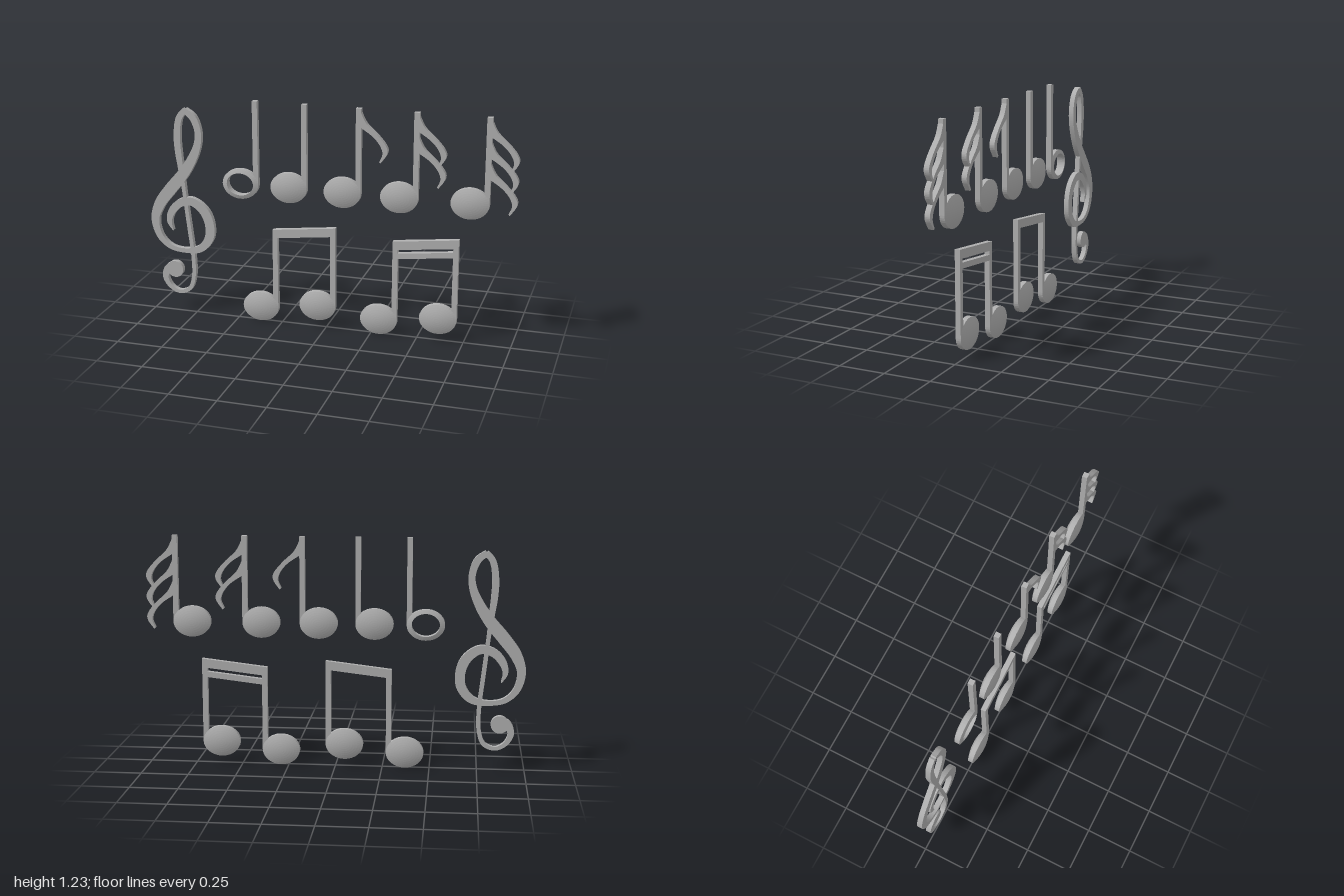
import * as THREE from 'three';

const HALF = 0.014; // half thickness of the flat parts
const DOME = 0.033; // half thickness at the middle of a note head
const RX = 0.1, RY = 0.082, STEM = 0.028;

const grey = new THREE.MeshStandardMaterial({ color: 0xb0b0b0 });
grey.name = 'grey';

function addMesh(parent, name, geometry) {
  const mesh = new THREE.Mesh(geometry, grey);
  mesh.name = name;
  parent.add(mesh);
  return mesh;
}

// Flat plate from an outline, centred on z = 0
function plate(points) {
  const geo = new THREE.ExtrudeGeometry(new THREE.Shape(points), { depth: HALF * 2, bevelEnabled: false });
  return geo.translate(0, 0, -HALF);
}

const v = (x, y) => new THREE.Vector2(x, y);

// Domed elliptical head; a hole ratio above 0 leaves an open ring
function headGeometry(hole = 0) {
  const front = [], steps = 7;
  for (let i = 0; i <= steps; i++) {
    const r = hole + (1 - hole) * i / steps;
    front.push(v(r, HALF + (DOME - HALF) * (1 - r * r)));
  }
  const back = front.map(p => v(p.x, -p.y)).reverse();
  // profile runs from the back to the front so faces point outwards
  const profile = [...back.reverse(), ...front.reverse()];
  if (hole) profile.push(profile[0].clone());
  let geo = new THREE.LatheGeometry(profile, 40);
  geo.rotateX(Math.PI / 2).scale(RX, RY, 1);
  geo = geo.toNonIndexed();
  geo.computeVertexNormals();
  return geo;
}

// Head with a stem on its right side
function addNote(parent, x, y, top, hole = 0) {
  addMesh(parent, 'noteHead', headGeometry(hole)).position.set(x, y, 0);
  const r = x + RX, l = r - STEM;
  addMesh(parent, 'noteStem', plate([v(l, y - (hole ? 0.03 : 0.045)), v(r, y), v(r, top), v(l, top)]));
}

// Curled flag hanging from the stem
function flagGeometry() {
  const outer = [v(0, -0.02), v(0.03, -0.078), v(0.09, -0.135), v(0.135, -0.19), v(0.139, -0.23), v(0.105, -0.28)];
  const inner = [v(0.098, -0.273), v(0.115, -0.23), v(0.1, -0.185), v(0.06, -0.14), v(0, -0.1)];
  return plate([
    ...new THREE.SplineCurve(outer).getPoints(24),
    ...new THREE.SplineCurve(inner).getPoints(24),
  ]);
}

// Slanted bar between two stems
function addBeam(parent, x0, x1, yLeft, yRight, height) {
  addMesh(parent, 'beam', plate([
    v(x0, yLeft - height), v(x1, yRight - height), v(x1, yRight), v(x0, yLeft),
  ]));
}

// Stroke of varying width along a curve; each point is x, y, width in hundredths
function stroke(points, steps) {
  const curve = new THREE.CatmullRomCurve3(
    points.map(p => new THREE.Vector3(p[0] / 100, p[1] / 100, p[2] / 100)), false, 'centripetal');
  const left = [], right = [];
  for (let i = 0; i <= steps; i++) {
    const p = curve.getPoint(i / steps), t = curve.getTangent(i / steps);
    const n = v(-t.y, t.x).normalize().multiplyScalar(p.z / 2);
    left.push(v(p.x + n.x, p.y + n.y));
    right.push(v(p.x - n.x, p.y - n.y));
  }
  return plate([...left, ...right.reverse()]);
}

function createClef() {
  const clef = new THREE.Group();
  clef.name = 'trebleClef';
  // Top loop running down into the large spiral
  addMesh(clef, 'clefSpiral', stroke([
    [-78.3, 115.3, 3], [-73.5, 111.5, 3.8], [-70.8, 104, 3.6], [-71.3, 97, 4],
    [-75, 88, 5.2], [-80.5, 79.5, 6.2], [-88, 70.5, 6.6], [-94.3, 62, 6],
    [-97.3, 53, 4.6], [-95, 43.5, 3.6], [-89, 37.8, 2.8], [-80.5, 36.2, 2.6],
    [-71.5, 38, 4], [-66.2, 44.5, 5], [-65.6, 52, 5.2], [-68.5, 59.5, 5.2],
    [-75.5, 64.6, 4.6], [-82.5, 63.2, 4.4], [-87.5, 58, 4], [-89, 52.5, 2.8], [-87, 47.3, 0.4],
  ], 150));
  // Left side of the loop, long stem and lower hook
  addMesh(clef, 'clefStem', stroke([
    [-77.8, 115.4, 3], [-81.2, 111, 3.4], [-82.8, 102, 3.6], [-82.5, 93, 3.6], [-81.3, 83, 3],
    [-80, 72, 2.2], [-78.7, 60, 2.2], [-77.2, 47, 2.2], [-75.8, 34, 2.2], [-75.8, 21.5, 2.2],
    [-78.5, 14, 2.2], [-84.5, 11.7, 2], [-90, 14.5, 2.4], [-92.6, 20, 3.4], [-90.4, 25, 4.6], [-87, 26.2, 5],
  ], 110));
  // Round end of the hook
  const ball = addMesh(clef, 'clefBall', new THREE.CylinderGeometry(0.047, 0.047, HALF * 2, 28).rotateX(Math.PI / 2));
  ball.position.set(-0.867, 0.247, 0);
  return clef;
}

export function createModel() {
  const model = new THREE.Group();
  model.name = 'musicSymbols';
  model.add(createClef());

  // Upper row: single notes with a growing number of flags
  const rowY = 0.772, top = 1.228;
  const singles = [
    ['halfNote', -0.473, 0, 0.74], ['quarterNote', -0.205, 0, 0], ['eighthNote', 0.088, 1, 0],
    ['sixteenthNote', 0.392, 2, 0], ['thirtySecondNote', 0.761, 3, 0],
  ];
  for (const [name, x, flags, hole] of singles) {
    const note = new THREE.Group();
    note.name = name;
    addNote(note, x, rowY, top, hole);
    for (let i = 0; i < flags; i++) {
      addMesh(note, 'flag', flagGeometry()).position.set(x + RX - 0.001, top - i * 0.11, 0);
    }
    model.add(note);
  }

  // Lower row: beamed pairs with one or two bars
  for (const [name, x, bars] of [['beamedEighths', -0.369, 1], ['beamedSixteenths', 0.291, 2]]) {
    const pair = new THREE.Group();
    pair.name = name;
    const x2 = x + 0.321, l = x + RX - STEM, r = x2 + RX;
    addNote(pair, x, 0.083, 0.53, 0);
    addNote(pair, x2, 0.122, 0.568, 0);
    addBeam(pair, l, r, 0.531, 0.572, 0.047);
    if (bars === 2) addBeam(pair, l, r, 0.464, 0.505, 0.03);
    model.add(pair);
  }
  return model;
}
